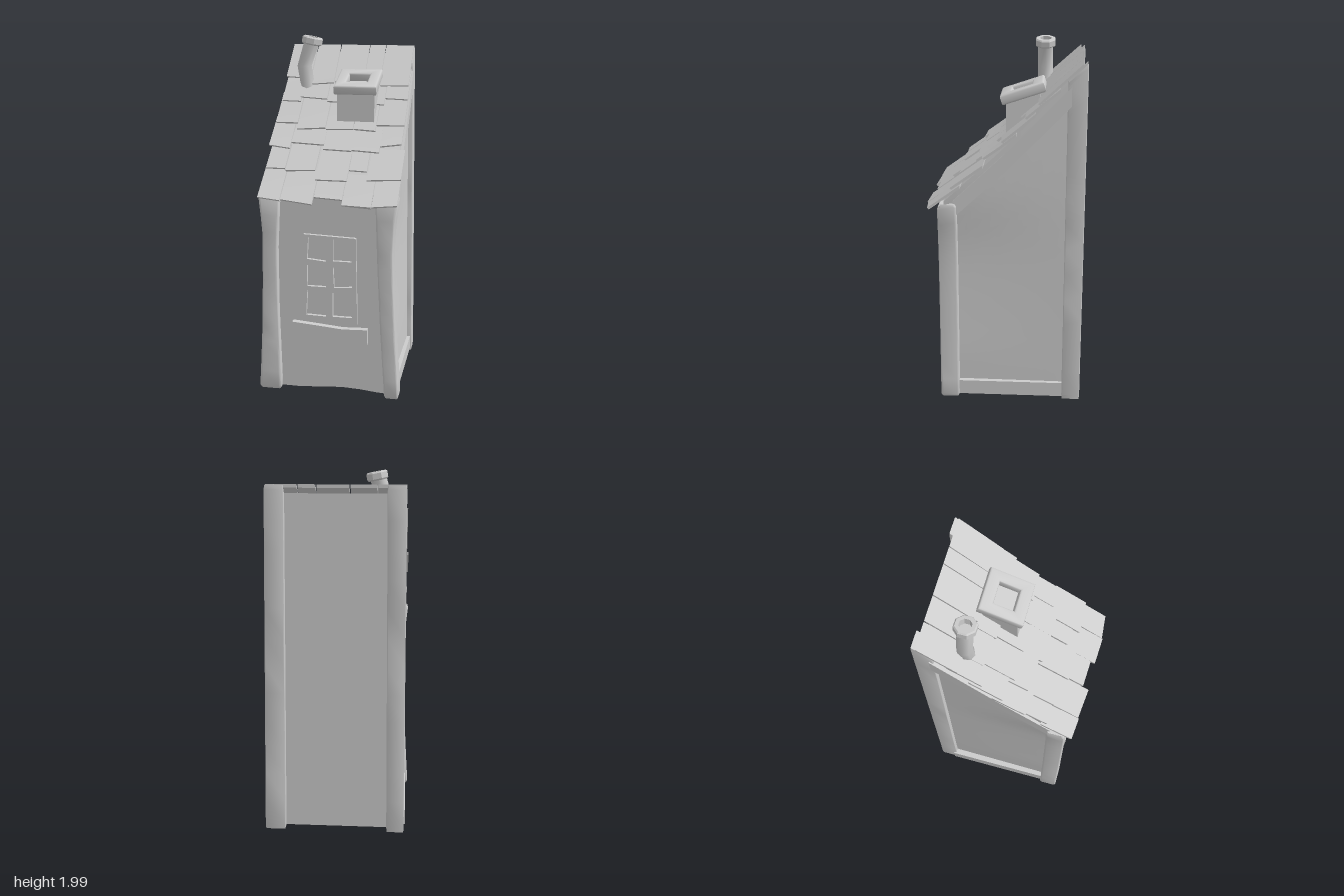
import * as THREE from 'three';
import { toCreasedNormals } from 'three/addons/utils/BufferGeometryUtils.js';

const lerp = THREE.MathUtils.lerp;
const grey = new THREE.MeshStandardMaterial({ color: 0xcccccc });
grey.name = 'stone grey';

// piecewise linear interpolation through [key, value] pairs
const along = (keys) => (y) => {
  if (y <= keys[0][0]) return keys[0][1];
  for (let i = 1; i < keys.length; i++) {
    const [a, va] = keys[i - 1], [b, vb] = keys[i];
    if (y <= b) return lerp(va, vb, (y - a) / (b - a));
  }
  return keys[keys.length - 1][1];
};

// height of the roof deck at depth z
const roofY = along([[-0.43, 1.93], [-0.22, 1.722], [0, 1.492], [0.14, 1.364], [0.43, 1.098]]);

function warp(geometry, rule) {
  const p = geometry.attributes.position;
  const v = new THREE.Vector3();
  for (let i = 0; i < p.count; i++) {
    rule(v.fromBufferAttribute(p, i));
    p.setXYZ(i, v.x, v.y, v.z);
  }
  geometry.computeVertexNormals();
  return toCreasedNormals(geometry, 0.6);
}

function polygon(points, Type = THREE.Shape) {
  return new Type(points.map(([x, y]) => new THREE.Vector2(x, y)));
}

// upright post with corner radius r and softened ends; lo and hi give its x limits at each height
const postRings = along([[0, 0], [1 / 14, 0.013], [13 / 14, 0.987], [1, 1]]);
function postGeometry(r, lo, hi, z0, z1, top) {
  const s = new THREE.Shape();
  s.moveTo(r, 0).lineTo(1 - r, 0).quadraticCurveTo(1, 0, 1, r);
  s.lineTo(1, 1 - r).quadraticCurveTo(1, 1, 1 - r, 1);
  s.lineTo(r, 1).quadraticCurveTo(0, 1, 0, 1 - r);
  s.lineTo(0, r).quadraticCurveTo(0, 0, r, 0);
  const g = new THREE.ExtrudeGeometry(s, { depth: 1, steps: 14, bevelEnabled: false, curveSegments: 4 });
  g.rotateX(-Math.PI / 2);
  return warp(g, (v) => {
    const inset = v.y < 0.001 || v.y > 0.999 ? r : 0;
    v.x = lerp(v.x, 0.5, inset);
    v.z = z1 + lerp(v.z, -0.5, inset) * (z1 - z0);
    v.y = lerp(0.004, top(v.z), postRings(v.y));
    v.x = lerp(lo(v.y), hi(v.y), v.x);
  });
}

export function createModel() {
  const group = new THREE.Group();
  const add = (name, geometry, parent = group) => {
    const mesh = new THREE.Mesh(geometry, grey);
    mesh.name = name;
    parent.add(mesh);
    return mesh;
  };

  // outer and inner x of the posts
  const outL = along([[0, 0.408], [0.15, 0.398], [0.4, 0.384], [0.7, 0.375], [0.95, 0.372], [1.1, 0.384], [1.17, 0.393]]);
  const outR = along([[0, 0.408], [0.15, 0.398], [0.4, 0.382], [0.7, 0.367], [0.9, 0.362], [1.05, 0.372], [1.17, 0.388]]);
  const inL = along([[0, 0.275], [0.5, 0.287], [0.85, 0.287], [1.17, 0.27]]);
  const inR = along([[0, 0.326], [0.4, 0.298], [0.8, 0.277], [1.17, 0.262]]);
  const outBackL = along([[0, 0.4], [1.93, 0.37]]);
  const outBackR = along([[0, 0.383], [1.93, 0.368]]);
  const inBack = along([[0, 0.285], [1.93, 0.268]]);
  const neg = (f) => (y) => -f(y);

  // walls
  add('walls', warp(new THREE.BoxGeometry(1, 1, 1, 8, 14, 12), (v) => {
    const t = v.z + 0.5;
    v.z = lerp(-0.395, 0.33, t);
    const base = 0.016 + 0.018 * t * Math.max(0, Math.cos(5 * (v.x - 0.12)));
    v.y = lerp(base, roofY(v.z) - 0.01, v.y + 0.5);
    const front = v.x > 0 ? outR(v.y) : outL(v.y);
    const back = v.x > 0 ? outBackL(v.y) : outBackR(v.y);
    v.x *= 2 * (lerp(back, Math.min(front, 0.39), t) - 0.028);
  }));

  // corner posts
  const frontTop = (z) => (z > 0.35 ? 1.155 : 1.17);
  add('frontPostLeft', postGeometry(0.13, inR, outR, 0.26, 0.367, frontTop));
  add('frontPostRight', postGeometry(0.13, neg(outL), neg(inL), 0.26, 0.367, frontTop));
  add('backPostLeft', postGeometry(0.05, inBack, outBackL, -0.433, -0.33, roofY));
  add('backPostRight', postGeometry(0.05, neg(outBackR), neg(inBack), -0.433, -0.33, roofY));

  // side beams: one along the ground, one under the roof slope
  const slope = polygon([[0.28, 1.09], [0.28, 1.185], [0, 1.45], [-0.35, 1.81], [-0.35, 1.71], [0, 1.35]]);
  for (const side of [-1, 1]) {
    const label = side > 0 ? 'Left' : 'Right';
    const g = new THREE.ExtrudeGeometry(slope, { depth: 0.05, bevelEnabled: false });
    g.rotateY(-Math.PI / 2); // shape x becomes z
    g.translate(side * 0.35 + 0.025, 0, 0);
    add('slopeBeam' + label, g);
    const sill = add('groundBeam' + label, new THREE.BoxGeometry(0.06, 0.085, 0.62));
    sill.position.set(side * 0.36, 0.058, -0.035);
  }

  // roof tiles, one row per line: [x left, x right, front z at left, front z at right]
  const rows = [
    [[-0.37, -0.22, -0.222, -0.215], [-0.215, -0.077, -0.185, -0.195], [-0.073, 0.1, -0.2, -0.185], [0.103, 0.197, -0.2, -0.2], [0.2, 0.365, -0.185, -0.187]],
    [[-0.365, -0.255, -0.1, -0.098], [-0.265, -0.1, -0.12, -0.112], [-0.097, 0.05, -0.1, -0.1], [0.053, 0.238, -0.1, -0.09], [0.241, 0.37, -0.122, -0.118]],
    [[-0.375, -0.247, 0.01, 0.01], [-0.243, -0.08, 0.043, 0.033], [-0.075, 0.08, 0.04, 0.035], [0.083, 0.21, 0.035, 0.042], [0.213, 0.37, 0.012, 0.008]],
    [[-0.385, -0.262, 0.133, 0.146], [-0.258, -0.068, 0.115, 0.123], [-0.07, 0.093, 0.145, 0.15], [0.09, 0.25, 0.145, 0.153], [0.25, 0.368, 0.122, 0.107]],
    [[-0.372, -0.262, 0.25, 0.25], [-0.257, -0.09, 0.26, 0.253], [-0.08, 0.095, 0.3, 0.3], [0.1, 0.198, 0.247, 0.25], [0.205, 0.39, 0.293, 0.283]],
    [[-0.382, -0.255, 0.397, 0.408], [-0.252, -0.073, 0.403, 0.42], [-0.068, 0.088, 0.385, 0.392], [0.09, 0.25, 0.417, 0.425], [0.253, 0.388, 0.42, 0.408]],
  ];
  const tiles = new THREE.Group();
  tiles.name = 'roofTiles';
  group.add(tiles);
  rows.forEach((row, r) => row.forEach(([x0, x1, zl, zr]) => {
    const g = warp(new THREE.BoxGeometry(1, 1, 1, 1, 1, 2), (v) => {
      const u = v.x + 0.5, t = v.z + 0.5, up = v.y + 0.5;
      const end = lerp(zl, zr, u);
      const start = r === 0 ? -0.41 : Math.min(zl, zr) - 0.17;
      v.z = lerp(start, end, t) + up * 0.01 * t;
      const mid = (x0 + x1) / 2;
      v.x = lerp(mid, lerp(x0, x1, u), lerp(0.985, 1, t));
      const lift = r === 0 ? 0.004 : -0.012;
      v.y = roofY(v.z) + lerp(lift, 0.024, t) + up * 0.018;
    });
    add('tile', g, tiles);
  }));

  // chimney with a tilted, hollow cap
  const chimney = new THREE.Group();
  chimney.name = 'chimney';
  group.add(chimney);
  add('chimneyStack', warp(new THREE.BoxGeometry(0.215, 1, 0.185), (v) => {
    v.z -= 0.092;
    v.x += 0.0875;
    v.y = v.y > 0 ? 1.695 - 0.3 * v.z : roofY(v.z) - 0.03;
  }), chimney);
  const square = (x, y) => [[-x, -y], [x, -y], [x, y], [-x, y]];
  const capShape = polygon(square(0.111, 0.113));
  capShape.holes.push(polygon(square(0.071, 0.068).reverse(), THREE.Path));
  const capGeometry = new THREE.ExtrudeGeometry(capShape, {
    depth: 0.034, bevelSize: 0.011, bevelThickness: 0.011, bevelSegments: 2,
  });
  capGeometry.translate(0, 0, -0.017);
  const cap = add('chimneyCap', toCreasedNormals(capGeometry, 0.9), chimney);
  cap.rotation.x = -Math.PI / 2 + 0.32;
  cap.position.set(0.0875, 1.743, -0.09);

  // bent stove pipe with a flared rim
  const bend = along([[1.66, -0.23], [1.82, -0.257], [1.96, -0.212]]);
  const pipe = new THREE.CylinderGeometry(0.043, 0.043, 0.3, 8, 2, true);
  pipe.translate(0, 1.81, 0);
  add('stovePipe', toCreasedNormals(warp(pipe, (v) => {
    const level = Math.round((v.y - 1.66) / 0.15);
    const y = [1.66, 1.82, 1.96][level];
    v.y = y - v.x * [0, 0, 0.25][level];
    v.x += bend(y);
    v.z -= 0.203;
  }), 1));
  const rim = new THREE.LatheGeometry([[0, 0.005], [0.034, 0.005], [0.034, 0.045], [0.054, 0.045], [0.061, 0.038], [0.061, 0.008], [0.054, 0], [0, 0]]
    .map(([x, y]) => new THREE.Vector2(x, y)).reverse(), 8);
  rim.rotateY(Math.PI / 8);
  const rimMesh = add('pipeRim', toCreasedNormals(rim, 0.4));
  rimMesh.position.set(-0.213, 1.944, -0.203);
  rimMesh.rotation.z = -0.2;

  // window frame with six crooked openings
  const frame = polygon([[-0.16, 0.44], [0.16, 0.435], [0.15, 0.937], [-0.145, 0.947]]);
  const panes = [
    [[-0.133, 0.473], [-0.018, 0.47], [-0.018, 0.61], [-0.125, 0.622]],
    [[-0.125, 0.645], [-0.018, 0.645], [-0.018, 0.765], [-0.125, 0.77]],
    [[-0.125, 0.805], [-0.016, 0.795], [-0.016, 0.917], [-0.118, 0.93]],
    [[0.02, 0.472], [0.132, 0.472], [0.13, 0.613], [0.02, 0.613]],
    [[0.028, 0.643], [0.13, 0.652], [0.126, 0.777], [0.022, 0.765]],
    [[0.022, 0.8], [0.128, 0.8], [0.122, 0.925], [0.022, 0.925]],
  ];
  frame.holes = panes.map((p) => polygon(p.reverse(), THREE.Path));
  const frameMesh = add('windowFrame', new THREE.ExtrudeGeometry(frame, { depth: 0.03, bevelEnabled: false }));
  frameMesh.position.set(0.006, 0, 0.32);

  // window sill board
  const board = polygon([[-0.205, 0.335], [0, 0.34], [0.222, 0.322], [0.22, 0.412], [0.08, 0.406], [-0.06, 0.418], [-0.21, 0.43]]);
  const boardMesh = add('windowSill', new THREE.ExtrudeGeometry(board, {
    depth: 0.045, bevelEnabled: false,
  }));
  boardMesh.position.set(0.004, 0, 0.32);

  return group;
}
